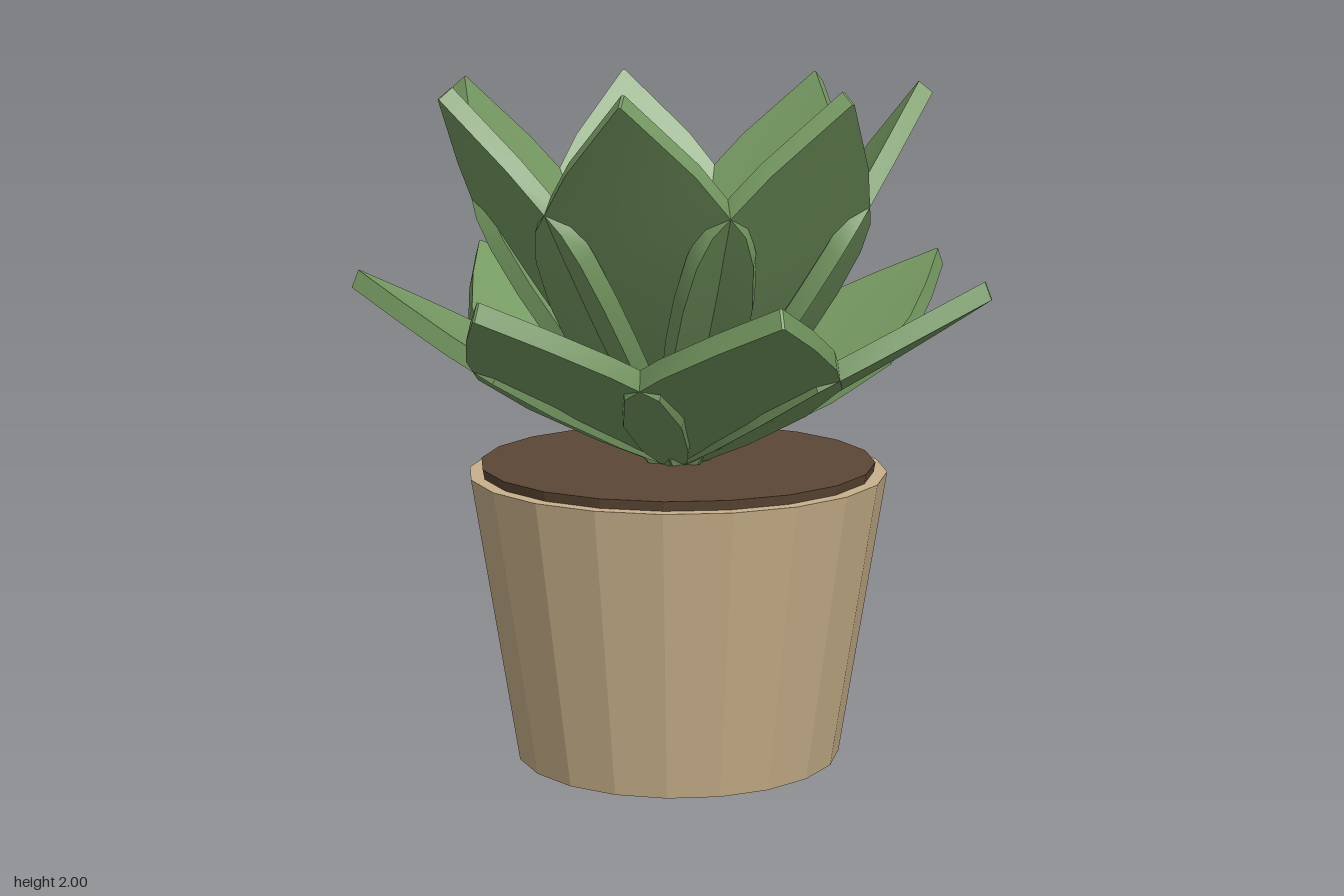
import * as THREE from 'three';
import { toCreasedNormals } from 'three/addons/utils/BufferGeometryUtils.js';

const AXIS_X = -0.047; // plant axis

// Thick, faintly keeled leaf pointing along +x, tilted up from its base.
// Rows: [distance along leaf, half width, keel lift, edge lift]
function leafGeometry(rows, tilt, baseY, thickness) {
  const c = Math.cos(tilt), s = Math.sin(tilt);
  const point = (along, lift, z) => [along * c - lift * s, baseY + along * s + lift * c, z];
  const sheet = (offset) => rows.map(([l, w, keel, edge]) => [
    point(l, edge + offset, -w), point(l, keel + offset, 0), point(l, edge + offset, w),
  ]);
  const low = sheet(0), top = sheet(thickness);
  const pos = [];
  const quad = (p, q, r, t) => pos.push(...p, ...q, ...r, ...p, ...r, ...t);
  for (let i = 0; i < rows.length - 1; i++) {
    const k = i + 1;
    // upper and lower faces, left and right of the keel
    for (const j of [0, 1]) {
      quad(top[i][j], top[i][j + 1], top[k][j + 1], top[k][j]);
      quad(low[i][j + 1], low[i][j], low[k][j], low[k][j + 1]);
    }
    // rims
    quad(low[i][2], low[k][2], top[k][2], top[i][2]);
    quad(low[k][0], low[i][0], top[i][0], top[k][0]);
  }
  const n = rows.length - 1;
  quad(low[n][0], top[n][0], top[n][2], low[n][2]); // blunt tip
  const g = new THREE.BufferGeometry();
  g.setAttribute('position', new THREE.Float32BufferAttribute(pos, 3));
  return toCreasedNormals(g, 0.6);
}

function leafRing(name, geometry, material, offset) {
  const ring = new THREE.Group();
  ring.name = name;
  for (let i = 0; i < 7; i++) {
    const leaf = new THREE.Mesh(geometry, material);
    leaf.name = 'leaf';
    leaf.rotation.y = -(offset + (i * Math.PI * 2) / 7);
    ring.add(leaf);
  }
  return ring;
}

export function createModel() {
  const clay = new THREE.MeshStandardMaterial({ color: 0xc8b08a, flatShading: true });
  clay.name = 'clay';
  const earth = new THREE.MeshStandardMaterial({ color: 0x5c4735, flatShading: true });
  earth.name = 'soil brown';
  const green = new THREE.MeshStandardMaterial({ color: 0x769a62, side: THREE.DoubleSide });
  green.name = 'leaf green';

  const plant = new THREE.Group();
  plant.name = 'pottedSucculent';
  plant.position.x = AXIS_X;

  // Tapered pot and the soil standing slightly proud of its rim
  const pot = new THREE.Mesh(new THREE.CylinderGeometry(0.62, 0.485, 0.857, 20), clay);
  pot.name = 'pot';
  pot.position.y = 0.4285;
  const soil = new THREE.Mesh(new THREE.CylinderGeometry(0.585, 0.57, 0.085, 20), earth);
  soil.name = 'soil';
  soil.position.y = 0.8425;
  plant.add(pot, soil);

  // Low, spreading outer leaves
  const outer = leafGeometry([
    [0, 0.03, 0, 0],
    [0.2, 0.16, 0.012, 0.022],
    [0.42, 0.27, 0.035, 0.055],
    [0.62, 0.315, 0.07, 0.09],
    [0.77, 0.25, 0.097, 0.112],
    [0.93, 0.135, 0.13, 0.138],
    [1.083, 0.004, 0.163, 0.163],
  ], THREE.MathUtils.degToRad(21.6), 0.86, 0.055);

  // Tall, upright inner leaves
  const inner = leafGeometry([
    [0, 0.03, 0, 0],
    [0.3, 0.17, 0.015, 0.03],
    [0.55, 0.255, 0.033, 0.055],
    [0.7, 0.29, 0.048, 0.072],
    [0.85, 0.307, 0.064, 0.09],
    [0.95, 0.295, 0.078, 0.102],
    [1.15, 0.18, 0.105, 0.12],
    [1.378, 0.004, 0.138, 0.138],
  ], THREE.MathUtils.degToRad(52), 0.797, 0.052);

  plant.add(
    leafRing('outerLeaves', outer, green, 0),
    leafRing('innerLeaves', inner, green, 0.5),
  );

  const model = new THREE.Group();
  model.name = 'model';
  model.add(plant);
  return model;
}
